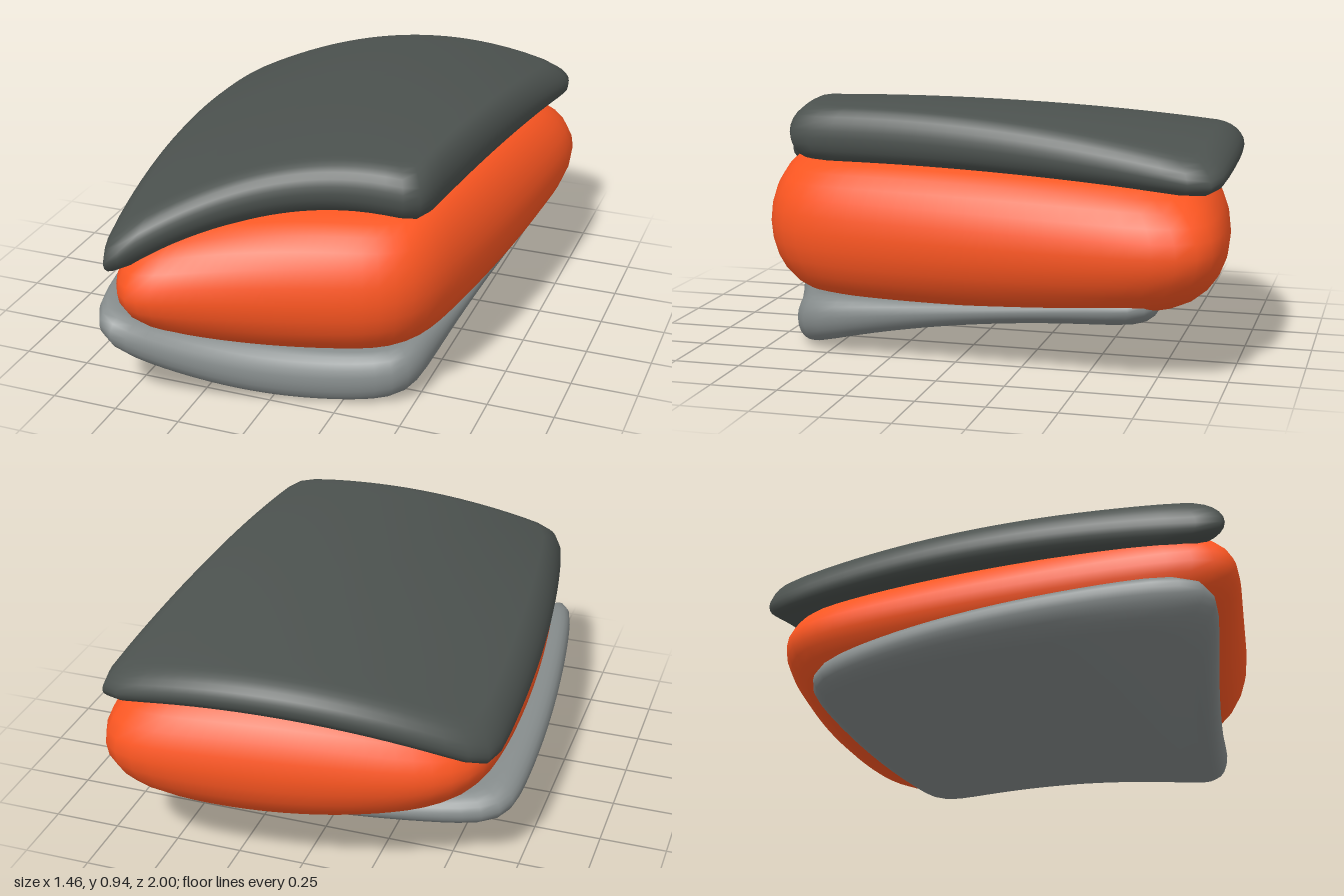
import * as THREE from 'three';
import { mergeVertices } from 'three/addons/utils/BufferGeometryUtils.js';

// Quadratic weights for the stations -1, 0, 1
const weights = (s) => [s * (s - 1) / 2, 1 - s * s, s * (s + 1) / 2];

// Point on a curved patch through 3x3 stations [x, y, z, half thickness]
function patchPoint(rows, u, v) {
  const wu = weights(u), wv = weights(v), p = [0, 0, 0, 0];
  rows.forEach((row, j) => row.forEach((station, i) =>
    station.forEach((value, k) => { p[k] += value * wu[i] * wv[j]; })));
  return p;
}

// Closed cushion: rounded-square rings over the top, round the rim, back underneath
function cushion(name, color, rows, rim, squareness) {
  const around = 96, flat = 8, bend = 12;
  const profile = [];
  for (let i = 0; i < flat; i++) profile.push([(1 - rim) * i / flat, 1]);
  for (let i = 0; i <= bend; i++) {
    const a = Math.PI * i / bend;
    profile.push([1 - rim + rim * Math.sin(a), Math.cos(a)]);
  }
  for (let i = flat - 1; i >= 0; i--) profile.push([(1 - rim) * i / flat, -1]);

  const positions = [], index = [];
  profile.forEach(([s, h], k) => {
    for (let j = 0; j < around; j++) {
      const a = 2 * Math.PI * j / around, c = Math.cos(a), d = Math.sin(a);
      const r = s / Math.pow(Math.abs(c) ** squareness + Math.abs(d) ** squareness, 1 / squareness);
      const [x, y, z, t] = patchPoint(rows, r * c, r * d);
      positions.push(x, y + h * t, z);
      if (k === 0) continue;
      const n = (j + 1) % around, inner = (k - 1) * around, outer = k * around;
      index.push(inner + j, outer + n, outer + j, inner + j, inner + n, outer + n);
    }
  });
  let geometry = new THREE.BufferGeometry();
  geometry.setAttribute('position', new THREE.Float32BufferAttribute(positions, 3));
  geometry.setIndex(index);
  geometry = mergeVertices(geometry, 1e-5);
  geometry.computeVertexNormals();
  const mesh = new THREE.Mesh(geometry, new THREE.MeshStandardMaterial({ color }));
  mesh.name = name;
  return mesh;
}

export function createModel() {
  const model = new THREE.Group();
  model.name = 'layeredCushions';

  // Rows run back to front, stations run from -x to +x
  model.add(cushion('topSlab', 0x4c524f, [
    [[-0.705, 0.58, -0.76, 0.07], [-0.04, 0.78, -0.97, 0.07], [0.685, 0.715, -0.97, 0.06]],
    [[-0.68, 0.63, 0.1, 0.085], [-0.01, 0.822, -0.13, 0.092], [0.61, 0.81, -0.15, 0.095]],
    [[-0.52, 0.575, 1.05, 0.085], [-0.01, 0.807, 0.75, 0.095], [0.535, 0.818, 0.645, 0.1]],
  ], 0.12, 20));

  model.add(cushion('middleFilling', 0xff5722, [
    [[-0.65, 0.47, -0.74, 0.11], [0, 0.48, -0.93, 0.23], [0.75, 0.48, -0.985, 0.18]],
    [[-0.65, 0.46, 0.1, 0.13], [0, 0.475, -0.05, 0.265], [0.68, 0.475, -0.08, 0.23]],
    [[-0.51, 0.46, 1.06, 0.145], [0, 0.465, 0.89, 0.245], [0.55, 0.475, 0.71, 0.225]],
  ], 0.24, 8));

  model.add(cushion('bottomSlab', 0x858b8b, [
    [[-0.715, 0.235, -0.56, 0.065], [-0.03, 0.222, -0.69, 0.055], [0.65, 0.275, -0.76, 0.065]],
    [[-0.72, 0.32, 0.12, 0.075], [-0.03, 0.197, 0.05, 0.052], [0.57, 0.207, -0.05, 0.05]],
    [[-0.59, 0.325, 1.02, 0.088], [-0.05, 0.112, 0.8, 0.105], [0.51, 0.122, 0.63, 0.105]],
  ], 0.13, 12));

  return model;
}
